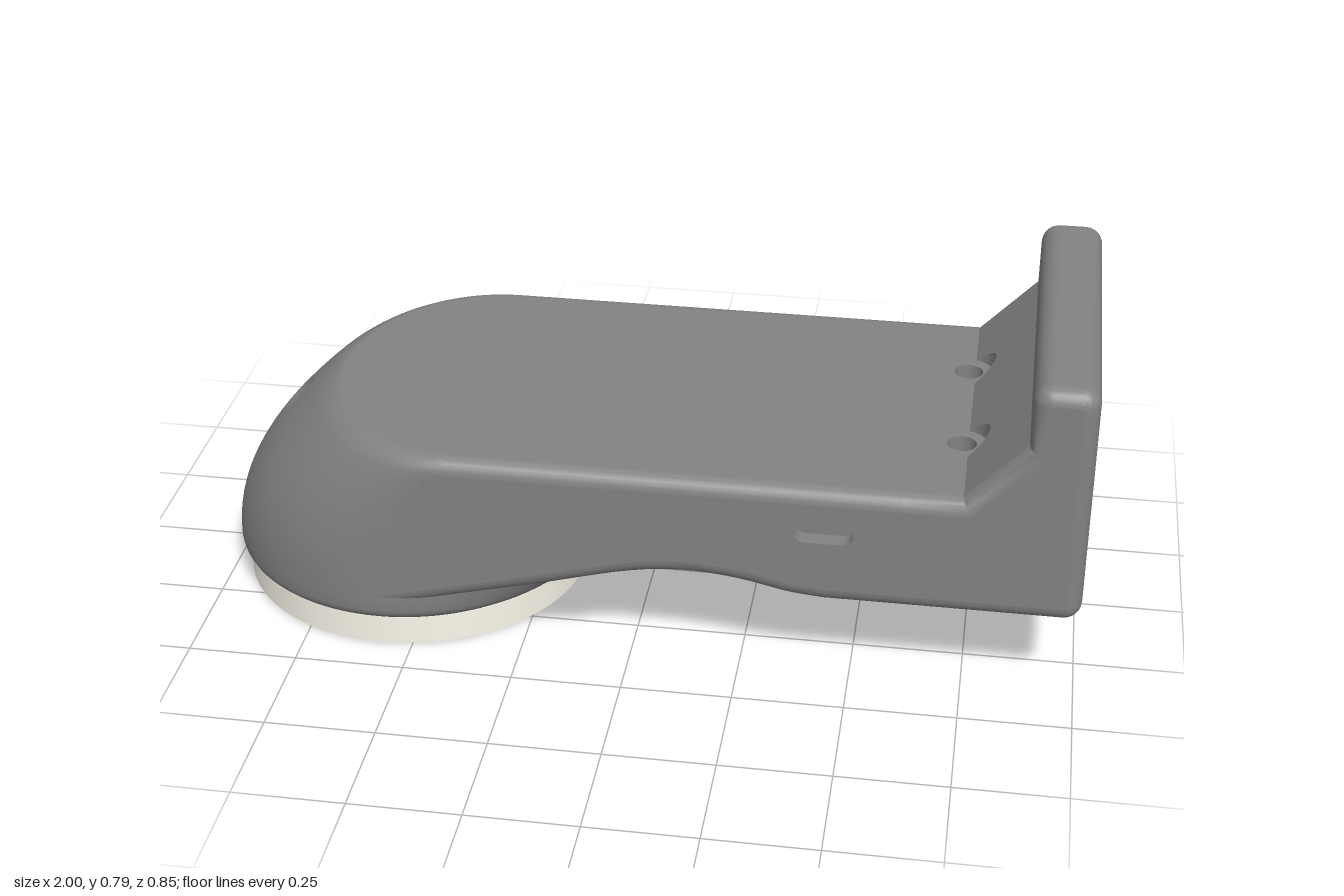
import * as THREE from 'three';
import { toCreasedNormals } from 'three/addons/utils/BufferGeometryUtils.js';

const V2 = (x, y) => new THREE.Vector2(x, y);
const V3 = (x, y, z) => new THREE.Vector3(x, y, z);
const W = 0.427, R = 0.035, FLAT = W - R;   // half width, edge rounding, flat half width
const TOP = 0.505, BASE = 0.07, UNDER = 0.222, EPS = 0.005;
const SCREW = { x: 0.715, z: 0.17, r: 0.033, head: 0.06 };
const slopeY = x => TOP + (x - 0.73) * (0.135 / 0.13);

const solid = new THREE.MeshStandardMaterial({ color: 0x828282 });
const open = new THREE.MeshStandardMaterial({ color: 0x828282, side: THREE.DoubleSide });
const ivory = new THREE.MeshStandardMaterial({ color: 0xfcf8ec });

function mesh(name, geometry, material) {
  const m = new THREE.Mesh(geometry, material);
  m.name = name;
  return m;
}
function fromTriangles(points) {
  const g = new THREE.BufferGeometry().setFromPoints(points);
  return toCreasedNormals(g, 0.5);
}
const quad = (out, a, b, c, d) => out.push(a, b, c, a, c, d);

// Wall between two loops (or open rows) of equal length
function wall(a, b, closed = true) {
  const out = [];
  for (let i = 0; i < a.length - (closed ? 0 : 1); i++) {
    const j = (i + 1) % a.length;
    quad(out, a[i], a[j], b[j], b[i]);
  }
  return fromTriangles(out);
}
const circle = (x, y, r, n = 32) => Array.from({ length: n }, (_, i) =>
  V2(x + r * Math.cos(i / n * 2 * Math.PI), y + r * Math.sin(i / n * 2 * Math.PI)));

// Panel drawn in x and z, lifted to height(x)
function panel(points, holes, height) {
  const shape = new THREE.Shape(points);
  shape.holes = holes.map(h => new THREE.Path(h));
  const g = new THREE.ShapeGeometry(shape), p = g.attributes.position;
  for (let i = 0; i < p.count; i++) p.setXYZ(i, p.getX(i), height(p.getX(i)), p.getY(i));
  g.computeVertexNormals();
  return g;
}

// Foot outline at height y: centre c, front radius a, back radius b, half width w
function section(y) {
  const t = Math.max(0, (y - 0.1) / (TOP - 0.1));
  const front = -1 + 0.25 * t * t, a = 0.425 - 0.07 * t, c = front + a;
  const b = y > 0.33 ? 0.02 : -0.15 + 1.05 * (y - 0.08) - c;
  const round = (d, r) => d > 0 ? r - Math.sqrt(Math.max(0, r * r - d * d)) : 0;
  const low = round(0.1 - y, 0.03), high = round(y - (TOP - R), R);
  return { c, a: a - low - high / 2, b: b - low, w: W - low - high };
}
function footPoint(theta, y) {
  const s = section(y), k = Math.cos(theta);
  return V3(s.c - k * (k > 0 ? s.a : s.b), y, s.w * Math.sin(theta));
}
// Surface coordinates (theta, y) of the foot front above a plan position
function footAbove(x, z) {
  let lo = 0.2, hi = 0.5;
  for (let i = 0; i < 30; i++) {
    const y = (lo + hi) / 2, s = section(y);
    if (s.c - s.a * Math.sqrt(1 - (z / s.w) ** 2) < x) lo = y; else hi = y;
  }
  return V2(Math.asin(z / section(lo).w), lo);
}

function buildFoot(group) {
  const N = 96, step = 2 * Math.PI / N, rows = [], tri = [], rim = [];
  for (let i = 0; i < 5; i++) rows.push(BASE + 0.03 * (1 - Math.cos(i / 5 * Math.PI / 2)));
  for (let i = 0; i < 8; i++) rows.push(0.1 + 0.22 * i / 8);
  for (let i = 0; i < 6; i++) rows.push(0.32 + 0.15 * i / 6);
  for (let i = 0; i <= 6; i++) rows.push(TOP - R + R * Math.sin(i / 6 * Math.PI / 2));
  const inPatch = (i, r) => i >= -3 && i < 3 && r >= 13 && r < 19;
  for (let r = 0; r < rows.length - 1; r++)
    for (let i = -N / 2; i < N / 2; i++) {
      if (inPatch(i, r)) continue;
      quad(tri, footPoint(i * step, rows[r]), footPoint((i + 1) * step, rows[r]),
        footPoint((i + 1) * step, rows[r + 1]), footPoint(i * step, rows[r + 1]));
    }
  for (let i = 0; i < N; i++) {
    const p = footPoint(i * step, TOP);
    rim.push(V2(p.x, p.z));
  }
  group.add(mesh('footTop', panel(rim, [], () => TOP), open));

  // Patch of skin blending from the grid to the round bore
  const hx = -0.86, hr = 0.045, edge = [];
  for (let i = -3; i < 3; i++) edge.push([i, -3]);
  for (let i = -3; i < 3; i++) edge.push([3, i]);
  for (let i = 3; i > -3; i--) edge.push([i, 3]);
  for (let i = 3; i > -3; i--) edge.push([-3, i]);
  const rings = [0, 1, 2, 3, 4].map(k => edge.map(([s, t]) => {
    const l = Math.hypot(s, t);
    const inner = footAbove(hx + hr * t / l, hr * s / l);
    const p = V2(s * step, rows[16 + t]).lerp(inner, k / 4);
    return footPoint(p.x, p.y);
  }));
  for (let k = 0; k < 4; k++)
    for (let i = 0; i < edge.length; i++) {
      const j = (i + 1) % edge.length;
      quad(tri, rings[k][i], rings[k][j], rings[k + 1][j], rings[k + 1][i]);
    }
  group.add(mesh('foot', fromTriangles(tri), solid));

  // Stepped bore in the nose
  const floor = 0.335;
  group.add(mesh('noseBoreWall', wall(rings[4], rings[4].map(p => V3(p.x, floor, p.z))), open));
  group.add(mesh('noseBoreFloor', panel(circle(hx, 0, hr + 0.001), [circle(hx, 0, 0.022)], () => floor), open));
  const pin = new THREE.CylinderGeometry(0.022, 0.022, 0.12, 32, 1, true).translate(hx, floor - 0.06, 0);
  group.add(mesh('noseBorePin', pin, open));
  group.add(mesh('noseBoreEnd', panel(circle(hx, 0, 0.022), [], () => floor - 0.12), open));
}

// Side profile of the arm and its upright end plate, counter-clockwise
function armProfile() {
  const pts = new THREE.SplineCurve([V2(section(0.1).c, 0.1), V2(-0.4, 0.145), V2(-0.2, 0.195), V2(0, 0.248),
    V2(0.13, 0.263), V2(0.25, 0.253), V2(0.36, 0.23), V2(0.44, UNDER)]).getPoints(32);
  pts.push(V2(0.6, UNDER), V2(0.85, UNDER));
  // rounded corner with a short straight run at each end
  const fillet = (x, y, start, r = 0.04) => {
    for (let i = -1; i <= 7; i++) {
      const a = start + Math.min(6, Math.max(0, i)) / 6 * Math.PI / 2;
      const run = i < 0 ? -EPS : i > 6 ? EPS : 0;
      pts.push(V2(x + r * Math.cos(a) - run * Math.sin(a), y + r * Math.sin(a) + run * Math.cos(a)));
    }
  };
  fillet(0.96, UNDER + 0.04, -Math.PI / 2);
  fillet(0.96, 0.748, 0);
  fillet(0.90, 0.748, Math.PI / 2);
  pts.push(V2(0.86, 0.64), V2(0.73, TOP), V2(0.6, TOP));
  for (let i = 0; i < 8; i++) {
    const y = TOP - (TOP - 0.16) * i / 7;
    pts.push(V2(section(y).c, y));
  }
  return pts;
}

function buildArm(group) {
  const pts = armProfile(), n = pts.length, tri = [];
  const normal = (a, b) => { const d = b.clone().sub(a).normalize(); return V2(d.y, -d.x); };
  const miter = pts.map((p, i) => {
    const a = normal(pts[(i + n - 1) % n], p), b = normal(p, pts[(i + 1) % n]);
    return a.clone().add(b).divideScalar(1 + a.dot(b));
  });
  // the end that joins the foot follows the foot's widest line
  const inset = d => pts.map((p, i) => {
    const q = p.clone().addScaledVector(miter[i], -d);
    if (i === 0 || i >= n - 8) q.x = section(q.y).c;
    return q;
  });

  // Rounded edge rings from the front side to the back side
  const rings = [], ring = (d, z) => inset(d).map(p => V3(p.x, p.y, z));
  for (let k = 0; k <= 6; k++) {
    const a = k / 6 * Math.PI / 2;
    rings.push(ring(R * (1 - Math.sin(a)), FLAT + R * Math.cos(a)));
  }
  rings.push(ring(0, FLAT - EPS));
  for (let k = 7; k >= 0; k--) rings.push(rings[k].map(p => V3(p.x, p.y, -p.z)));
  for (let k = 0; k < 15; k++)
    for (let i = 0; i < n; i++) {
      const j = (i + 1) % n, mid = (pts[i].x + pts[j].x) / 2;
      // leave room for the drilled panels
      if (k === 7 && mid > 0.6 && mid < 0.859 && pts[i].distanceTo(pts[j]) > 0.1) continue;
      quad(tri, rings[k][i], rings[k + 1][i], rings[k + 1][j], rings[k][j]);
    }
  group.add(mesh('arm', fromTriangles(tri), solid));

  // Flat sides, each with a shallow port
  const slot = [];
  for (const [cx, start] of [[0.477, -1], [0.393, 1]])
    for (let i = 0; i <= 8; i++) {
      const a = (start / 2 + i / 8) * Math.PI;
      slot.push(V2(cx + 0.023 * Math.cos(a), 0.398 + 0.023 * Math.sin(a)));
    }
  const window = [V2(0.31, 0.33), V2(0.52, 0.33), V2(0.52, 0.445), V2(0.31, 0.445)];
  for (const [name, side, port] of [['front', 1, slot], ['back', -1, window]]) {
    const shape = new THREE.Shape(inset(R));
    shape.holes.push(new THREE.Path(port));
    const z = side * W, deep = side * (W - 0.04);
    group.add(mesh(name + 'Side', new THREE.ShapeGeometry(shape).translate(0, 0, z), open));
    group.add(mesh(name + 'PortWall', wall(port.map(p => V3(p.x, p.y, z)), port.map(p => V3(p.x, p.y, deep))), open));
    group.add(mesh(name + 'PortFloor', new THREE.ShapeGeometry(new THREE.Shape(port)).translate(0, 0, deep), open));
  }
}

function buildScrewHoles(group) {
  const { x, z, r, head } = SCREW, F = FLAT - EPS;
  const rect = (x0, x1) => [V2(x0, -F), V2(x1, -F), V2(x1, F), V2(x0, F)];
  const holes = () => [circle(x, -z, r), circle(x, z, r)];
  group.add(mesh('topPanel', panel(rect(0.6, 0.8), holes(), () => TOP), open));
  group.add(mesh('bottomPanel', panel(rect(0.6, 0.85), holes(), () => UNDER), open));

  // Slope notched by the screw head recesses
  const reach = Math.acos((0.73 - x) / head), outline = rect(0.73, 0.86);
  for (const side of [1, -1]) {
    const arc = [];
    for (let i = 0; i <= 20; i++) {
      const a = reach * (1 - i / 10);
      arc.push(V2(x + head * Math.cos(a), side * z + head * Math.sin(a)));
    }
    outline.push(...arc);
    group.add(mesh('screwRecess', wall(arc.map(p => V3(p.x, TOP, p.y)), arc.map(p => V3(p.x, slopeY(p.x), p.y)), false), open));
    const tube = new THREE.CylinderGeometry(r, r, TOP - UNDER, 32, 1, true);
    group.add(mesh('screwHole', tube.translate(x, (TOP + UNDER) / 2, side * z), open));
  }
  group.add(mesh('slopePanel', panel(outline, [], slopeY), open));
}

export function createModel() {
  const model = new THREE.Group();
  model.name = 'bracket';
  buildFoot(model);
  buildArm(model);
  buildScrewHoles(model);
  // Round pad under the foot
  const pad = new THREE.CylinderGeometry(0.407, 0.407, BASE, 96).translate(-0.575, BASE / 2, 0);
  model.add(mesh('pad', pad, ivory));
  return model;
}
